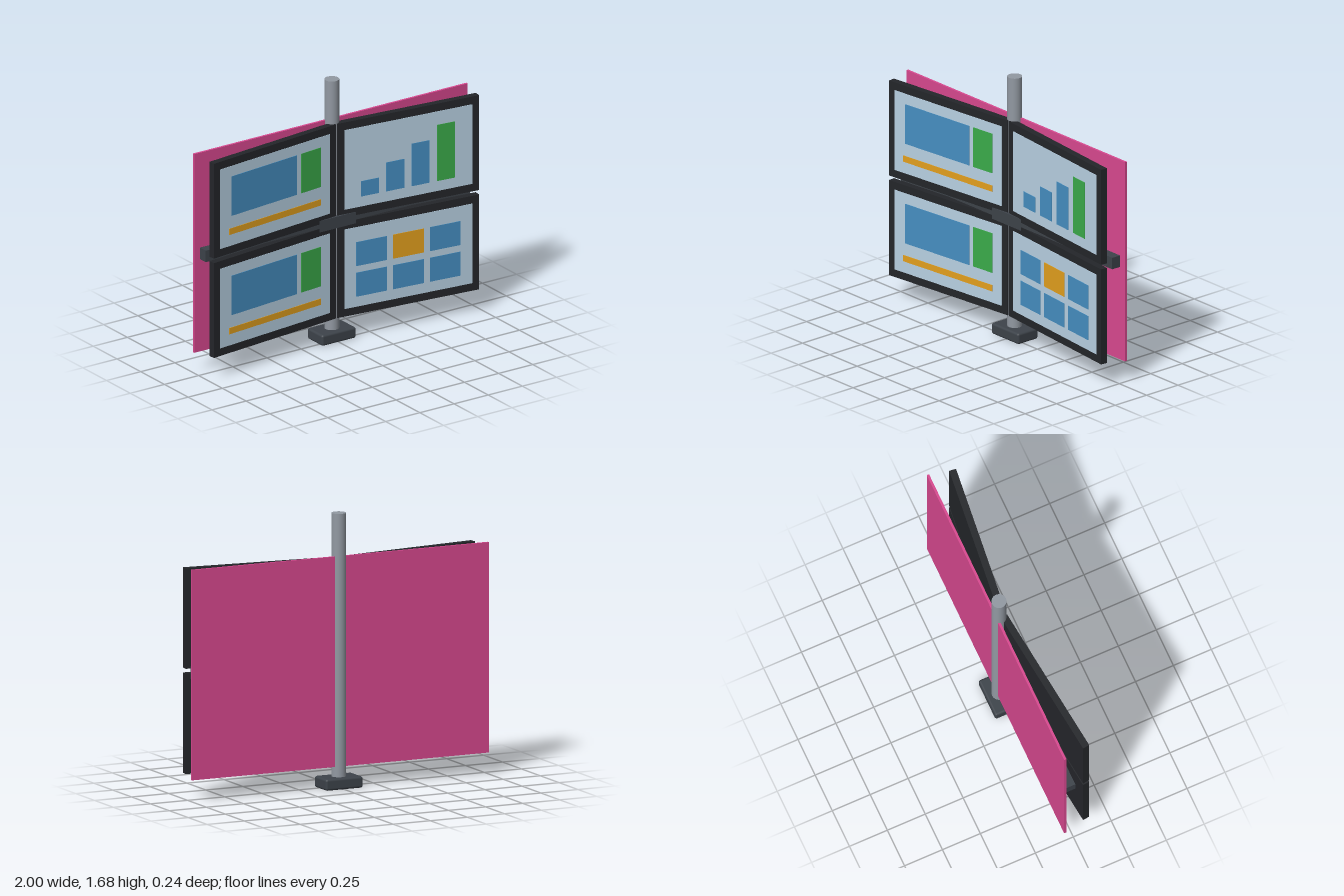
import * as THREE from 'three';
import { RoundedBoxGeometry } from 'three/addons/geometries/RoundedBoxGeometry.js';

const paint = (color) => new THREE.MeshStandardMaterial({ color });
const dark = paint(0x24262a);
const grey = paint(0x3d434a);
const steel = paint(0x9299a2);
const glass = paint(0xb9d2e4);
const blue = paint(0x468fc2);
const green = paint(0x3bab4a);
const orange = paint(0xe3a01e);
const pink = paint(0xd8488f);

function add(parent, name, geometry, material, x, y, z) {
  const mesh = new THREE.Mesh(geometry, material);
  mesh.name = name;
  mesh.position.set(x, y, z);
  parent.add(mesh);
  return mesh;
}

const box = (w, h, d) => new THREE.BoxGeometry(w, h, d);

// Chart tiles as [name, material, x, y, width, height], measured from the screen centre
const dashboard = [
  ['mainTile', blue, -0.088, 0.063, 0.522, 0.255],
  ['sideTile', green, 0.284, 0.063, 0.156, 0.255],
  ['footerStrip', orange, -0.002, -0.164, 0.73, 0.04],
];

const barChart = [0.099, 0.187, 0.275, 0.363].map((h, i) =>
  ['chartBar', i === 3 ? green : blue, -0.265 + i * 0.174, -0.192 + h / 2, 0.122, h]);

const tileGrid = [];
for (let row = 0; row < 2; row++) {
  for (let col = 0; col < 3; col++) {
    const material = row === 0 && col === 1 ? orange : blue;
    tileGrid.push(['gridTile', material, -0.253 + col * 0.252, 0.084 - row * 0.198, 0.209, 0.155]);
  }
}

// One monitor, its outer edge swung toward the viewer
function monitor(name, side, y, tiles) {
  const group = new THREE.Group();
  group.name = name;
  add(group, 'case', box(0.97, 0.614, 0.043), dark, 0, 0, 0);
  add(group, 'screen', box(0.875, 0.515, 0.004), glass, 0, 0, 0.0215);
  for (const [tile, material, x, v, w, h] of tiles) {
    add(group, tile, box(w, h, 0.004), material, x, v, 0.0245);
  }
  group.position.set(side * 0.49, y, 0.045);
  group.rotation.y = -side * 0.108;
  return group;
}

export function createModel() {
  const model = new THREE.Group();
  model.name = 'monitorStand';

  // Stand
  add(model, 'base', new RoundedBoxGeometry(0.25, 0.07, 0.16, 2, 0.014), grey, 0, 0.035, -0.037);
  add(model, 'pole', new THREE.CylinderGeometry(0.045, 0.045, 1.62, 40), steel, 0, 0.87, -0.037);
  add(model, 'crossbar', box(1.935, 0.074, 0.062), grey, 0, 0.773, -0.003);

  // Back panel
  add(model, 'backPanel', box(2, 1.286, 0.015), pink, 0, 0.775, -0.053);

  // Four monitors
  model.add(
    monitor('upperRightMonitor', -1, 1.096, dashboard),
    monitor('upperLeftMonitor', 1, 1.096, barChart),
    monitor('lowerRightMonitor', -1, 0.453, dashboard),
    monitor('lowerLeftMonitor', 1, 0.453, tileGrid),
  );
  return model;
}
